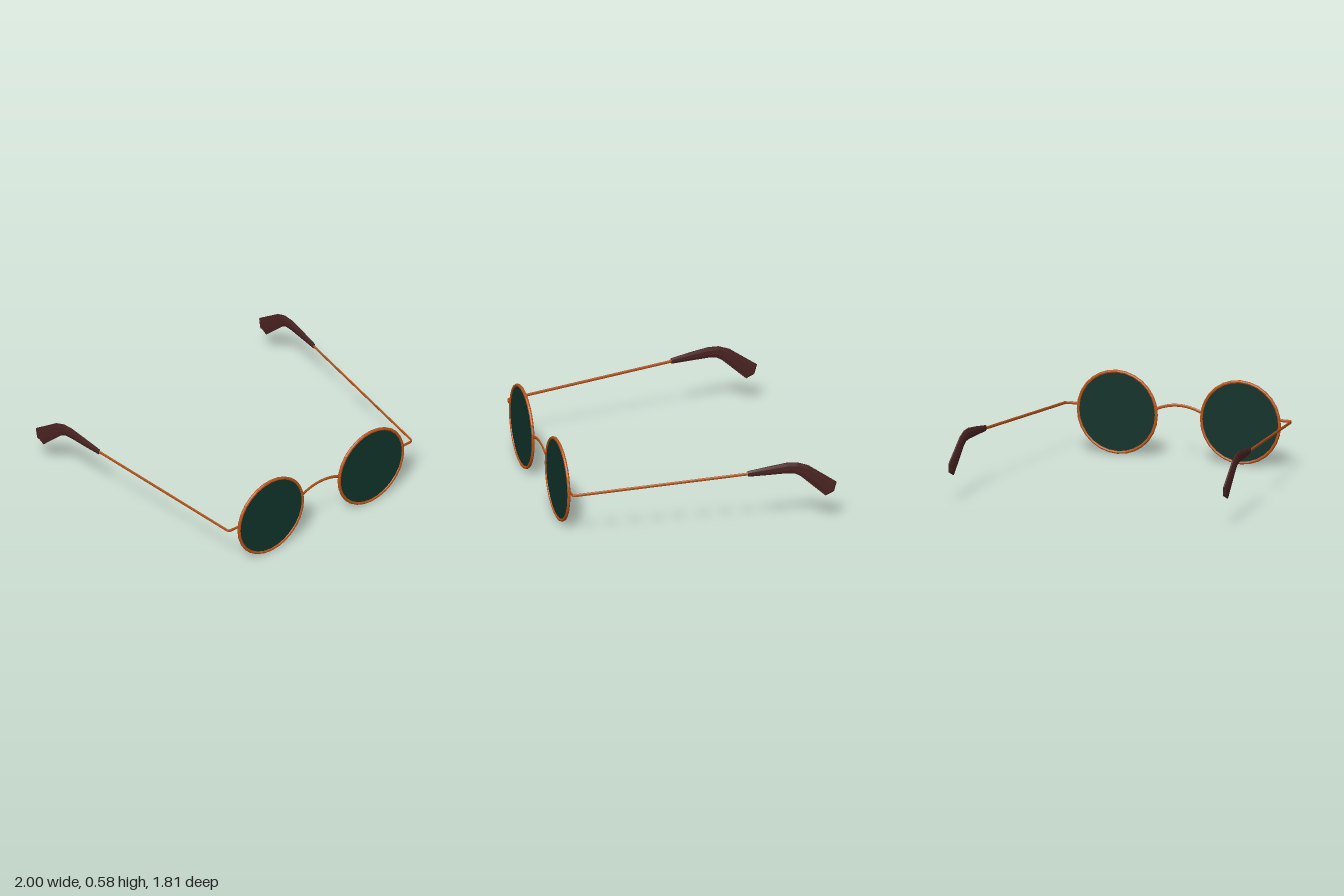
import * as THREE from 'three';

const material = (color) => new THREE.MeshStandardMaterial({ color, flatShading: true });

// Sweep an eight-sided oval along stations [x, y, z, halfWidth, halfHeight], capped at both ends.
function sweep(stations, sides = 8) {
  const centres = stations.map(([x, y, z]) => new THREE.Vector3(x, y, z));
  const up = new THREE.Vector3(0, 1, 0);
  const positions = [];
  const index = [];
  const last = stations.length - 1;
  const grow = 1 / Math.cos(Math.PI / sides);
  stations.forEach(([, , , halfW, halfH], i) => {
    const tangent = centres[Math.min(i + 1, last)].clone().sub(centres[Math.max(i - 1, 0)]).normalize();
    const side = tangent.clone().cross(up).normalize();
    const normal = side.clone().cross(tangent);
    for (let j = 0; j < sides; j++) {
      const a = ((j + 0.5) / sides) * Math.PI * 2;
      const p = centres[i].clone()
        .addScaledVector(side, Math.cos(a) * halfW * grow)
        .addScaledVector(normal, Math.sin(a) * halfH * grow);
      positions.push(p.x, p.y, p.z);
    }
  });
  for (let i = 0; i < last; i++) {
    for (let j = 0; j < sides; j++) {
      const a = i * sides + j;
      const d = i * sides + ((j + 1) % sides);
      index.push(a, a + sides, d + sides, a, d + sides, d);
    }
  }
  const end = last * sides;
  for (let j = 1; j < sides - 1; j++) {
    index.push(0, j, j + 1, end, end + j + 1, end + j);
  }
  const geometry = new THREE.BufferGeometry();
  geometry.setAttribute('position', new THREE.Float32BufferAttribute(positions, 3));
  geometry.setIndex(index);
  geometry.computeVertexNormals();
  return geometry;
}

export function createModel() {
  const group = new THREE.Group();
  const copper = material(0xb5541a);
  const glass = material(0x10332a);
  const brown = material(0x4a2422);
  const frontZ = 0.896;

  const add = (name, geometry, mat) => {
    const mesh = new THREE.Mesh(geometry, mat);
    mesh.name = name;
    group.add(mesh);
    return mesh;
  };

  // Arched nose bridge of flattened wire
  const bridge = [];
  for (let i = 0; i <= 12; i++) {
    const x = -0.166 + (0.332 * i) / 12;
    bridge.push([x, 0.375 - 1.4 * x * x, frontZ, 0.005, 0.01]);
  }
  add('bridge', sweep(bridge), copper);

  for (const s of [1, -1]) {
    const label = s > 0 ? 'left' : 'right';

    // Round rim and thin lens disc
    add(label + 'Rim', new THREE.TorusGeometry(0.281, 0.011, 8, 28), copper)
      .position.set(s * 0.443, 0.294, frontZ);
    const lens = new THREE.CylinderGeometry(0.277, 0.277, 0.006, 28);
    lens.rotateX(Math.PI / 2);
    add(label + 'Lens', lens, glass).position.set(s * 0.443, 0.294, frontZ);

    // Wire arm: short end piece, rounded corner, long run back
    const arm = [
      [0.722, 0.33, 0.895], [0.79, 0.33, 0.894], [0.807, 0.33, 0.89],
      [0.814, 0.331, 0.875], [0.817, 0.332, 0.85], [0.953, 0.407, -0.33],
    ].map(([x, y, z]) => [s * x, y, z, 0.005, 0.01]);
    add(label + 'Arm', sweep(arm), copper);

    // Ear tip: widens, bends over the ear and ends in a blunt point
    const tip = [
      [0.951, 0.406, -0.295, 0.009, 0.019],
      [0.964, 0.418, -0.44, 0.011, 0.03],
      [0.973, 0.427, -0.56, 0.012, 0.037],
      [0.977, 0.422, -0.625, 0.012, 0.039],
      [0.98, 0.394, -0.685, 0.012, 0.045],
      [0.987, 0.243, -0.867, 0.012, 0.06],
      [0.987, 0.227, -0.884, 0.012, 0.008],
    ].map(([x, y, z, w, h]) => [s * x, y, z, w, h]);
    add(label + 'EarTip', sweep(tip), brown);
  }
  return group;
}
